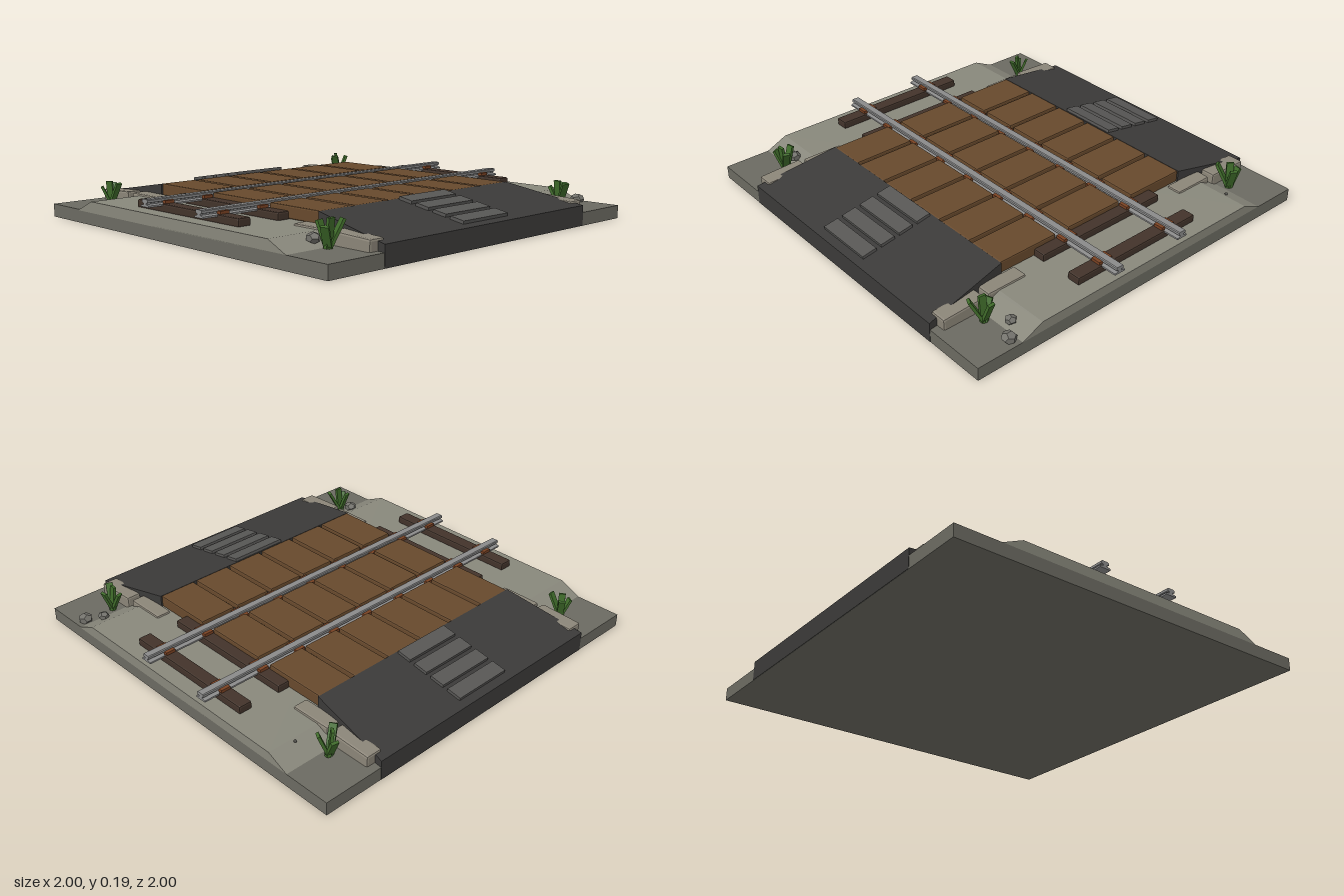
import * as THREE from 'three';
import { RoundedBoxGeometry } from 'three/addons/geometries/RoundedBoxGeometry.js';

const mat = (color) => new THREE.MeshStandardMaterial({ color, flatShading: true });
const M = {
  soil: mat(0x6b6a61), gravel: mat(0x88877b), asphalt: mat(0x3b3a39), stripe: mat(0x575654),
  plank: mat(0x67492c), tie: mat(0x42332a), rail: mat(0x8a8a8a), railDark: mat(0x57504a),
  rust: mat(0x7a4223), stone: mat(0x8b8578), rock: mat(0x72716b), grass: mat(0x3f6b2a),
};

export function createModel() {
  const root = new THREE.Group();
  const add = (name, geometry, material, x = 0, y = 0, z = 0, parent = root) => {
    const mesh = new THREE.Mesh(geometry, material);
    mesh.name = name;
    mesh.position.set(x, y, z);
    parent.add(mesh);
    return mesh;
  };
  const box = (w, h, d) => new THREE.BoxGeometry(w, h, d);
  const bevelBox = (w, h, d, r) => new RoundedBoxGeometry(w, h, d, 1, r);

  // Ground slab and the raised gravel bed
  add('groundSlab', box(1.996, 0.065, 2), M.soil, 0, 0.0325, 0);
  const bed = new THREE.Shape();
  [[-0.77, 0.06], [0.77, 0.06], [0.65, 0.115], [-0.65, 0.115]].forEach(([x, y], i) =>
    i ? bed.lineTo(x, y) : bed.moveTo(x, y));
  add('gravelBed', new THREE.ExtrudeGeometry(bed, { depth: 2, bevelEnabled: false }), M.gravel, 0, 0, -1);

  // Sloping road ramps with painted bars
  const slope = Math.atan2(0.075, 0.43);
  for (const s of [-1, 1]) {
    const g = box(0.43, 1, 1);
    const p = g.attributes.position;
    for (let i = 0; i < p.count; i++) {
      const outer = p.getX(i) * s > 0;
      const top = p.getY(i) > 0;
      p.setXYZ(i, s * (outer ? 1 : 0.57), top ? (outer ? 0.1 : 0.175) : 0.001,
        Math.sign(p.getZ(i)) * (outer ? 0.69 : 0.645));
    }
    g.computeVertexNormals();
    add('roadRamp', g, M.asphalt);
    for (let k = 0; k < 4; k++) {
      const x = 0.617 + k * 0.101;
      const bar = add('roadStripe', box(0.076, 0.026, 0.31), M.stripe,
        s * x, 0.175 - (x - 0.57) * Math.tan(slope) + 0.002, 0);
      bar.rotation.z = -s * slope;
    }
  }

  // Sleepers, with rusty fasteners on both sides of each rail
  for (let i = -4; i <= 4; i++) {
    const z = i * 0.222;
    add('sleeper', bevelBox(0.744, 0.04, 0.07, 0.008), M.tie, 0, 0.132, z);
    for (const x of [-0.2, 0.2]) {
      for (const s of [-1, 1]) add('railFastener', box(0.022, 0.022, 0.05), M.rust, x + s * 0.028, 0.155, z);
    }
  }

  // Rails: foot, web and head in one profile
  const half = [[0.03, 0.142], [0.03, 0.15], [0.01, 0.154], [0.01, 0.16], [0.021, 0.163], [0.021, 0.174], [0.017, 0.178]];
  const outline = [...half, ...half.map(([x, y]) => [-x, y]).reverse()];
  const railShape = new THREE.Shape(outline.map(([x, y]) => new THREE.Vector2(x, y)));
  for (const x of [-0.2, 0.2]) {
    add('rail', new THREE.ExtrudeGeometry(railShape, { depth: 2, bevelEnabled: false }), M.rail, x, 0, -1);
    add('railFootPlate', box(0.05, 0.006, 1.99), M.railDark, x, 0.148, 0);
  }

  // Timber crossing deck: three columns of six panels on cross bearers
  for (const x of [-0.407, 0, 0.407]) {
    for (let r = 0; r < 6; r++) {
      const z = (r - 2.5) * 0.2165;
      add('deckPanel', bevelBox(0.328, 0.06, 0.197, 0.007), M.plank, x, 0.146, z);
    }
    for (const z of [-0.433, 0, 0.433]) {
      add('deckBearer', box(0.322, 0.035, 0.05), M.tie, x, 0.131, z);
    }
  }

  // Kerb stones at the four ramp corners
  for (const sx of [-1, 1]) {
    for (const sz of [-1, 1]) {
      add('innerKerbStone', bevelBox(0.215, 0.07, 0.08, 0.01), M.stone, sx * 0.603, 0.09, sz * 0.685);
      const outer = add('outerKerbStone', bevelBox(0.225, 0.07, 0.085, 0.01), M.stone, sx * 0.845, 0.088, sz * 0.69);
      outer.rotation.z = -sx * 0.04;
    }
  }

  // Grass tufts: leaning blades around a common base
  const blade = box(0.036, 0.14, 0.014).translate(0, 0.07, 0);
  const leans = [[0.2, 0.5, 1], [2.3, 0.38, 0.9], [4.2, 0.45, 0.8], [5.3, 0.12, 0.95]];
  const tufts = [[-0.79, -0.79, 0.3, 1], [0.79, -0.79, 0.9, 0.97], [0.78, 0.79, 2.6, 1], [-0.8, 0.79, 1.5, 0.9]];
  for (const [x, z, turn, size] of tufts) {
    const tuft = new THREE.Group();
    tuft.name = 'grassTuft';
    tuft.position.set(x, 0.062, z);
    tuft.scale.setScalar(size);
    root.add(tuft);
    for (const [angle, lean, length] of leans) {
      const b = add('grassBlade', blade, M.grass, 0, 0, 0, tuft);
      b.rotation.set(lean, angle + turn, 0, 'YXZ');
      b.scale.y = length;
    }
  }

  // Loose rocks
  const rocks = [[0.79, -0.95, 0.036], [0.725, -0.885, 0.028], [0.715, 0.81, 0.034], [-0.67, -0.87, 0.008]];
  rocks.forEach(([x, z, r], i) => {
    const y = Math.abs(x) > 0.77 ? 0.065 : 0.065 + (0.77 - Math.abs(x)) * 0.45;
    const rock = add('looseRock', new THREE.DodecahedronGeometry(r, 0), M.rock, x, y + r * 0.4, z);
    rock.scale.y = 0.75;
    rock.rotation.y = i * 1.3;
  });

  return root;
}
